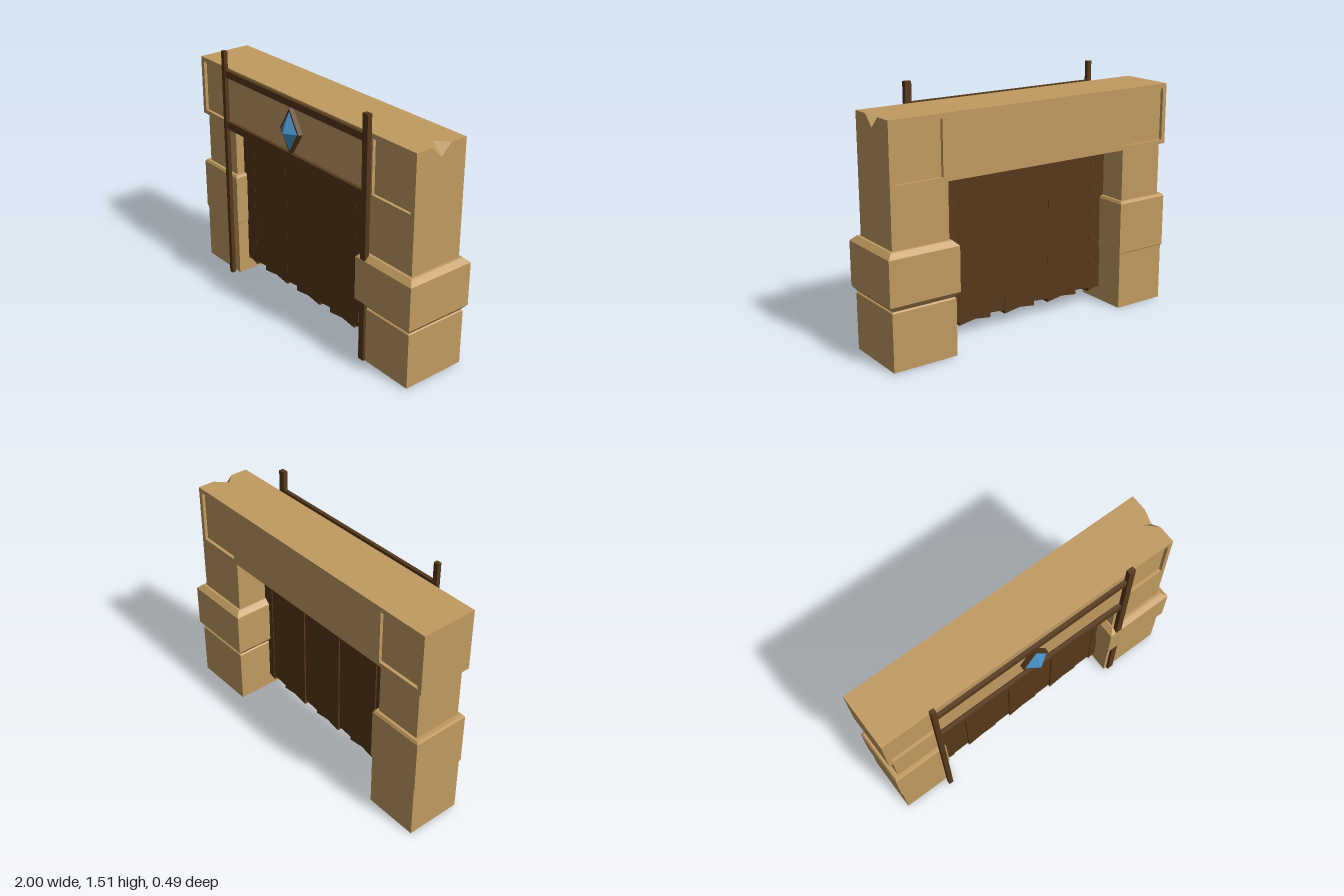
import * as THREE from 'three';
import { ConvexGeometry } from 'three/addons/geometries/ConvexGeometry.js';

const mat = (color) => new THREE.MeshStandardMaterial({ color, flatShading: true, side: THREE.DoubleSide });

export function createModel() {
  const model = new THREE.Group();
  const stone = mat(0xc19a60), wood = mat(0x56381a), blue = mat(0x4a94cc);

  const add = (name, geometry, material) => {
    const mesh = new THREE.Mesh(geometry, material);
    mesh.name = name;
    model.add(mesh);
    return mesh;
  };
  const box = (name, [x0, x1], [y0, y1], [z0, z1], material) =>
    add(name, new THREE.BoxGeometry(x1 - x0, y1 - y0, z1 - z0), material)
      .position.set((x0 + x1) / 2, (y0 + y1) / 2, (z0 + z1) / 2);

  // Four-sided hollow block; profile holds [relative half-width, height]
  const block = (name, [x0, x1], [z0, z1], profile) => {
    const pts = profile.map(([r, y]) => new THREE.Vector2(r * Math.SQRT2, y));
    const g = new THREE.LatheGeometry(pts, 4, Math.PI / 4);
    g.scale((x1 - x0) / 2, 1, (z1 - z0) / 2);
    g.translate((x0 + x1) / 2, 0, (z0 + z1) / 2);
    add(name, g, stone);
  };
  const extrude = (points, depth, z, holes = []) => {
    const shape = new THREE.Shape(points.map(([x, y]) => new THREE.Vector2(x, y)));
    for (const h of holes) shape.holes.push(new THREE.Path(h.map(([x, y]) => new THREE.Vector2(x, y))));
    const g = new THREE.ExtrudeGeometry(shape, { depth, bevelEnabled: false });
    return g.translate(0, 0, z);
  };
  const rect = (x0, x1, y0, y1) => [[x0, y0], [x1, y0], [x1, y1], [x0, y1]];

  // Lintel core: two halves, each missing a corner so they form the chipped edge
  const split = -0.025, left = -0.995, right = 0.953, top = 1.396, base = 1.02;
  for (const [zEnd, zChip] of [[-0.18, -0.092], [0.13, 0.042]]) {
    const pts = [
      [left, base, split], [left, top, split], [right, base, split],
      [left, base, zEnd], [left, top, zEnd], [right, base, zEnd], [right, top, zEnd],
      [0.885, top, split], [right, 1.33, split], [right, top, zChip],
    ].map((p) => new THREE.Vector3(...p));
    add('lintelCore', new ConvexGeometry(pts), stone);
  }
  // Lintel faces with a sunken panel at each end
  const panels = [rect(-0.967, -0.675, 1.045, 1.367), rect(0.625, 0.925, 1.045, 1.367)];
  for (const z of [-0.2, 0.13]) {
    add('lintelFace', extrude(rect(left, right, base, top), 0.02, z, panels), stone);
  }

  // Right-hand pillar (model's left)
  box('leftPillarShaft', [0.595, right], [0.6, base], [-0.2, 0.15], stone);
  block('leftPillarCollar', [0.555, 1], [-0.246, 0.198],
    [[0, 0.355], [0.86, 0.355], [1, 0.392], [1, 0.66], [0.86, 0.69], [0, 0.69]]);
  block('leftPillarBase', [0.573, 0.98], [-0.23, 0.18],
    [[0.9, 0.33], [0.9, 0.008], [1, 0.008], [1, 0.352], [0.97, 0.358], [0, 0.358]]);

  // Opposite pillar
  box('rightPillarShaft', [-0.967, -0.67], [0.65, base], [-0.18, 0.13], stone);
  block('rightPillarCollar', [-1, -0.645], [-0.205, 0.155],
    [[0.97, 0.355], [1, 0.36], [1, 0.68], [0.95, 0.695], [0, 0.695]]);
  block('rightPillarBase', [-0.992, -0.65], [-0.2, 0.15], [[1, 0], [1, 0.36], [0, 0.36]]);

  // Timber frame
  box('rightPost', [-0.7, -0.67], [0.003, 1.515], [0.17, 0.195], wood);
  box('leftPost', [0.594, 0.635], [0.012, 1.515], [0.168, 0.197], wood);
  box('topRail', [-0.672, 0.594], [1.355, 1.398], [0.168, 0.19], wood);
  box('lowerRail', [-0.672, 0.594], [1.02, 1.07], [0.168, 0.19], wood);

  // Curtain: wide strips thin out toward +x until flush with the narrow ones
  const period = 0.325, narrow = 0.11, thin = 0.07, middle = 0.035;
  for (let i = 0; i < 5; i++) {
    const x1 = -0.565 + i * period;
    const x0 = Math.max(x1 - period + narrow, -0.675), end = Math.min(x1, 0.62);
    const mid = (x0 + end) / 2;
    const strip = extrude(
      [[x0, 0.077], [mid, 0.09], [end, 0.07], [end, 1.03], [x0, 1.03]], thin, -thin / 2);
    const p = strip.attributes.position;
    for (let v = 0; v < p.count; v++) {
      p.setZ(v, middle + p.getZ(v) * (1.02 + 1.2 * (end - p.getX(v))));
    }
    add('curtainWideStrip', strip, wood);
    if (i < 4) {
      add('curtainNarrowStrip', extrude(
        [[x1, 0.092], [x1 + narrow, 0.102], [x1 + narrow, 1.03], [x1, 1.03]], thin, middle - thin / 2), wood);
    }
  }

  // Half gem in a diamond mount
  const gx = -0.03, gy = 1.21;
  const diamond = (w, h) => [[gx, gy - h], [gx + w, gy], [gx, gy + h], [gx - w, gy]];
  add('gemMount', extrude(diamond(0.086, 0.138), 0.03, 0.168), wood);
  const gem = add('gem', new THREE.ConeGeometry(1, 1, 4, 1, true).translate(0, 0.5, 0).rotateX(Math.PI / 2), blue);
  gem.scale.set(0.075, 0.124, 0.05);
  gem.position.set(gx, gy, 0.196);

  return model;
}
